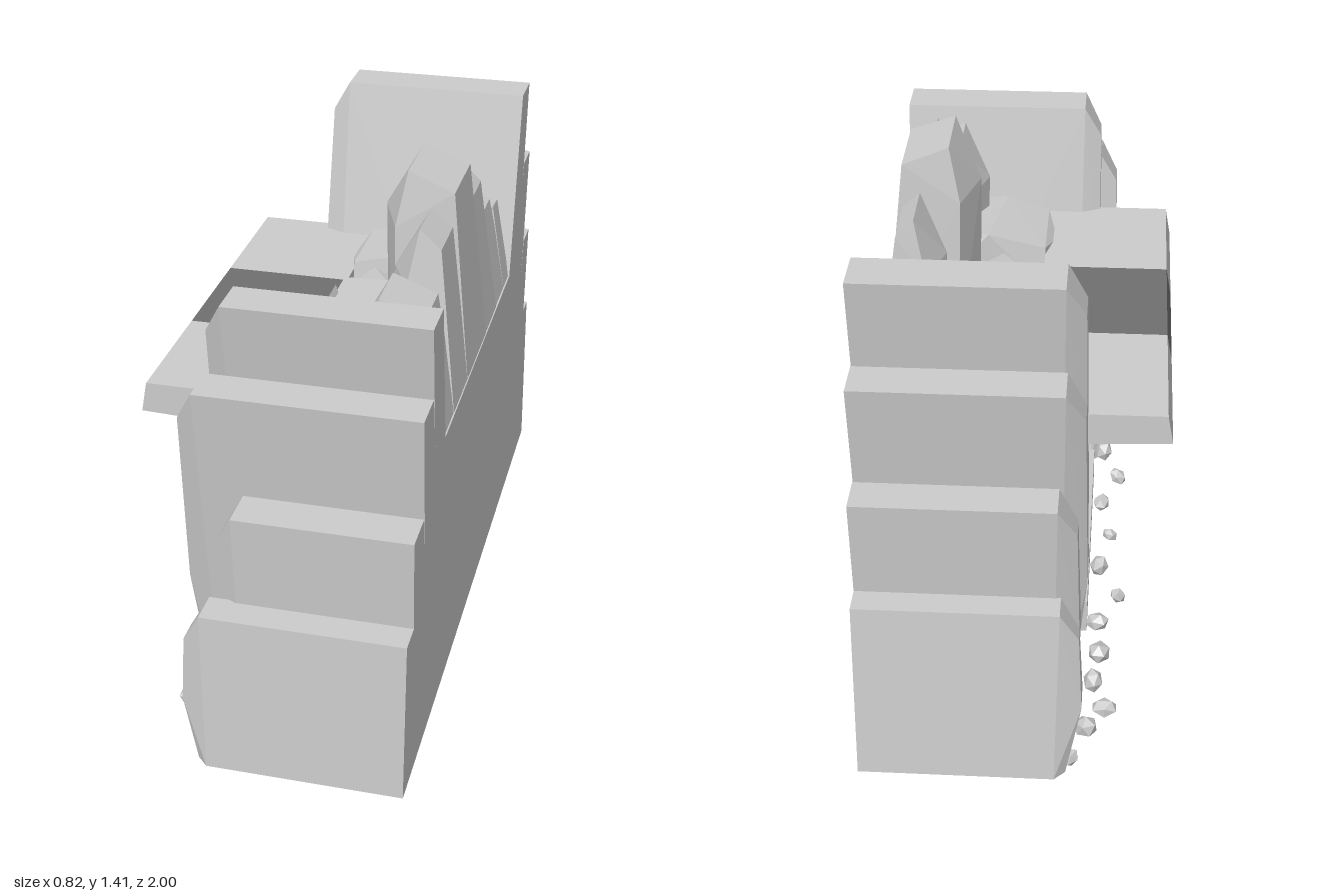
import * as THREE from 'three';
import { ConvexGeometry } from 'three/addons/geometries/ConvexGeometry.js';

const BACK = 0.41;
const stone = new THREE.MeshStandardMaterial({ color: 0xcccccc, flatShading: true });
const darkStone = new THREE.MeshStandardMaterial({ color: 0x707070, flatShading: true });

export function createModel() {
  const model = new THREE.Group();

  const add = (name, geometry, material = stone) => {
    const mesh = new THREE.Mesh(geometry, material);
    mesh.name = name;
    model.add(mesh);
    return mesh;
  };
  const hull = (name, points, material) =>
    add(name, new ConvexGeometry(points.map((p) => new THREE.Vector3(...p))), material);
  const block = (name, x0, x1, y0, y1, z0, z1, material) => {
    const g = new THREE.BoxGeometry(x1 - x0, y1 - y0, z1 - z0);
    g.translate((x0 + x1) / 2, (y0 + y1) / 2, (z0 + z1) / 2);
    return add(name, g, material);
  };

  // Solid core with a flat back, and the dark floor on top of it
  block('core', 0, BACK, 0, 0.825, -0.53, 0.53);
  block('floor', -0.05, BACK - 0.01, 0.8, 0.83, -0.5, 0.51, darkStone);

  // Leaning side slabs: fanned outwards, blunt chamfered front edge
  const slab = (side, height, topIn, topOut, baseIn, baseOut, front) => {
    const points = [];
    const zAt = (y, inset) => {
      const t = y / height;
      return [baseIn + (topIn - baseIn) * t + inset, baseOut + (topOut - baseOut) * t - inset];
    };
    const ring = (x, y, inset) => zAt(y, inset).forEach((z) => points.push([x, y, z * side]));
    ring(BACK, 0, 0);
    ring(BACK, height, 0);
    ring(front + 0.05, height, 0);
    ring(front + 0.06, 0, 0);
    ring(front, height - 0.09, 0.025);
    ring(front - 0.01, height * 0.4, 0.03);
    ring(front + 0.03, 0, 0.03);
    hull('sideSlab', points);
  };
  slab(1, 1.235, 0.61, 0.735, 0.38, 0.53, -0.185);
  slab(1, 1.03, 0.71, 0.83, 0.48, 0.7, -0.237);
  slab(1, 0.735, 0.8, 0.92, 0.66, 0.865, -0.115);
  slab(1, 0.47, 0.89, 0.985, 0.8, 1.0, -0.187);
  slab(-1, 1.375, 0.62, 0.75, 0.34, 0.56, -0.18);
  slab(-1, 1.12, 0.72, 0.835, 0.46, 0.68, -0.185);
  slab(-1, 0.82, 0.8, 0.905, 0.64, 0.84, -0.17);
  slab(-1, 0.53, 0.88, 0.955, 0.8, 1.0, -0.18);

  // Receding stone courses in the recess below the shelf
  const courses = [0, 0.11, 0.22, 0.36, 0.5, 0.65, 0.82];
  for (let i = 0; i < 6; i++) {
    const x = -0.19 + i * 0.03;
    const w = 0.39 + i * 0.015;
    block('recessCourse', x, 0.05, 0, courses[i + 1], -w, w, i > 3 ? darkStone : stone);
  }

  // Projecting shelf in three pieces, the middle one dark
  const shelf = (z0, z1, material) => {
    const points = [];
    for (const z of [z0, z1]) {
      points.push([-0.395, 0.91, z], [-0.41, 0.825, z], [-0.03, 0.81, z], [-0.03, 0.91, z]);
    }
    hull('shelf', points, material);
  };
  shelf(-0.59, -0.18);
  shelf(-0.18, 0.195, darkStone);
  shelf(0.195, 0.585);

  // Upright crystal-like rocks, cut flush with the back at their base
  const upright = (base0, base1, top0, top1, height, front) => {
    const mid = (top0 + top1) / 2;
    const w = top1 - top0;
    const bevel = height - 0.05;
    hull('uprightRock', [
      [BACK, 0.8, base0], [BACK, 0.8, base1],
      [front + 0.06, 0.8, base0], [front + 0.06, 0.8, base1], [front + 0.01, 0.8, mid],
      [0.35, bevel, top0], [0.35, bevel, top1],
      [front + 0.08, height, top0 + 0.04 * w], [front + 0.08, height, top1 - 0.04 * w],
      [front + 0.05, height - 0.16, top0 - 0.01], [front + 0.05, height - 0.16, top1 + 0.01],
      [front, height - 0.14, mid],
    ]);
  };
  upright(-0.1, 0.2, -0.065, 0.165, 1.41, 0.14);
  upright(0.19, 0.4, 0.18, 0.34, 1.32, 0.21);
  upright(0.36, 0.53, 0.37, 0.55, 1.21, 0.15);
  upright(-0.28, -0.08, -0.255, -0.075, 1.285, 0.22);
  upright(-0.46, -0.26, -0.43, -0.27, 1.16, 0.17);
  upright(-0.52, -0.42, -0.52, -0.44, 1.075, 0.28);

  // Low boulders either side of the seat
  for (const s of [1, -1]) {
    hull('boulder', [
      [-0.03, 0.8, 0.25], [-0.03, 0.8, 0.52], [0.3, 0.8, 0.24], [0.3, 0.8, 0.52],
      [-0.06, 0.9, 0.39], [-0.03, 0.93, 0.27], [-0.03, 0.93, 0.52],
      [0.14, 0.98, 0.25], [0.28, 0.97, 0.3], [0.29, 0.96, 0.51], [0.1, 0.97, 0.53],
    ].map(([x, y, z]) => [x, y, z * s]));
  }

  // Flat stones in the middle
  block('flatStone', -0.01, 0.16, 0.82, 0.92, -0.18, 0.17).rotation.z = 0.03;
  hull('thinStone', [
    [-0.05, 0.9, -0.1], [-0.055, 0.9, 0.13], [-0.02, 0.9, -0.06], [-0.02, 0.9, 0.09],
    [-0.04, 0.94, -0.08], [-0.04, 0.94, 0.1],
  ]);
  for (const [x, z] of [[0.05, -0.205], [0.09, 0.195]]) {
    hull('chip', [
      [x - 0.06, 0.9, z], [x + 0.06, 0.9, z - 0.025], [x + 0.06, 0.9, z + 0.025],
      [x, 0.95, z], [x, 0.82, z - 0.02], [x, 0.82, z + 0.02],
    ]);
  }

  // Rubble along the foot of the front: x, z, radius
  const rubble = [
    [-0.25, -0.74, 0.035], [-0.2, -0.83, 0.04], [-0.215, -0.64, 0.035], [-0.16, -0.94, 0.03],
    [-0.26, 0.75, 0.027], [-0.22, 0.65, 0.045], [-0.15, 0.85, 0.035], [-0.22, 0.5, 0.035],
    [-0.27, 0.36, 0.03], [-0.22, 0.22, 0.032], [-0.25, 0.05, 0.025], [-0.22, -0.12, 0.035],
    [-0.28, -0.25, 0.028], [-0.22, -0.38, 0.035], [-0.23, -0.52, 0.04],
  ];
  rubble.forEach(([x, z, r], i) => {
    const g = new THREE.IcosahedronGeometry(r, 0);
    g.scale(1.1, 0.8, 0.85);
    g.rotateZ(i * 0.7);
    g.rotateY(i * 1.9);
    g.computeBoundingBox();
    g.translate(x, -g.boundingBox.min.y, z);
    add('rubble', g);
  });

  return model;
}
